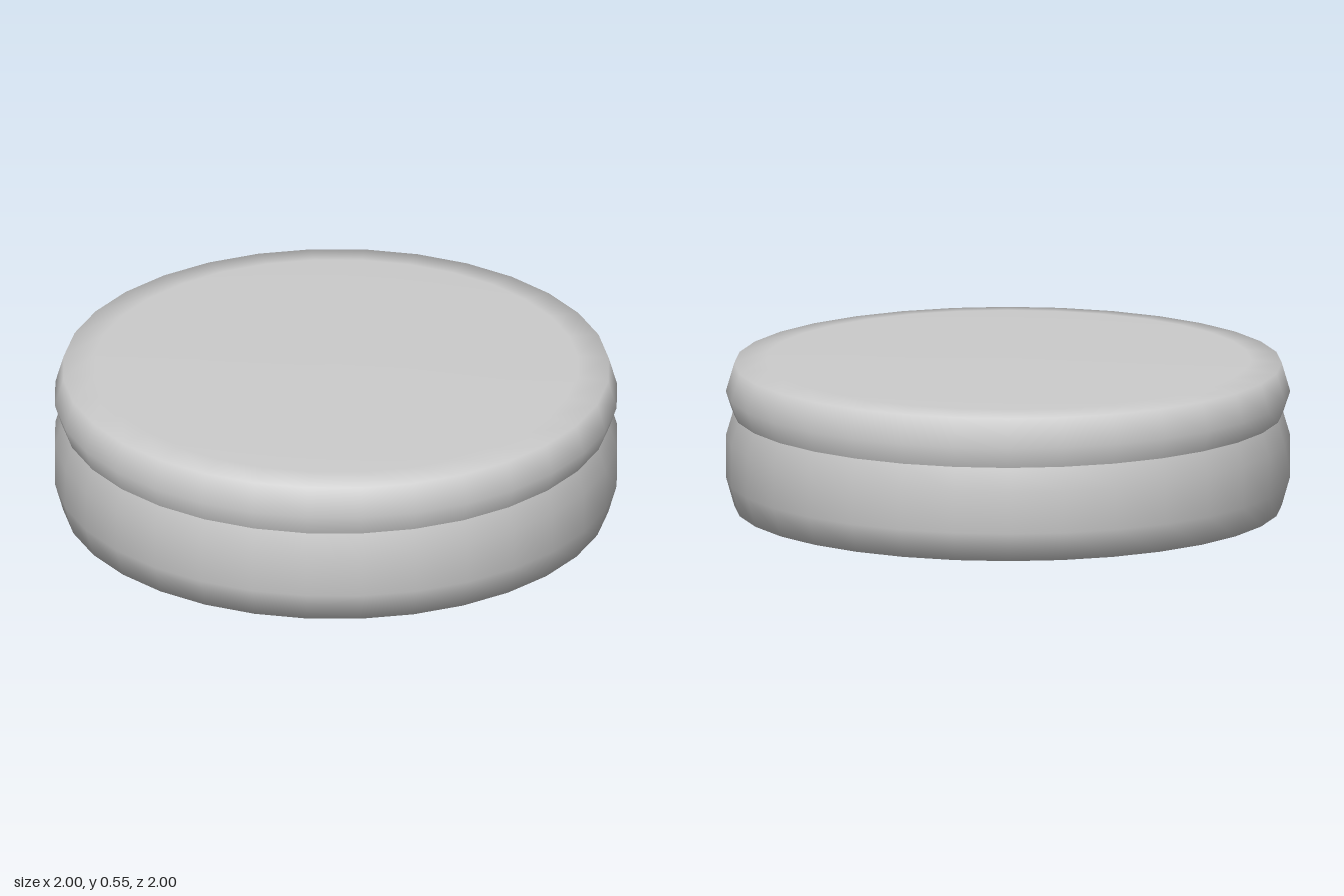
import * as THREE from 'three';

const SIDES = 32;

// Revolve a [radius, height] profile, listed bottom to top, with a flat side facing each axis
function turned(name, profile, material) {
  const fit = 1 / Math.cos(Math.PI / SIDES);
  const points = profile.map(([r, y]) => new THREE.Vector2(r * fit, y));
  const mesh = new THREE.Mesh(new THREE.LatheGeometry(points, SIDES, Math.PI / SIDES), material);
  mesh.name = name;
  return mesh;
}

export function createModel() {
  const group = new THREE.Group();
  group.name = 'roundTin';
  const material = new THREE.MeshStandardMaterial({ color: 0xcccccc, side: THREE.DoubleSide });

  // Taller lower half: flat underside, rolled rim, straight wall, pinched seam
  group.add(turned('base', [
    [0, 0], [0.45, 0], [0.86, 0.002], [0.97, 0.015],
    [1, 0.12], [1, 0.27], [0.975, 0.355],
  ], material));

  // Shallow lid: bulging wall and a faintly domed top
  group.add(turned('lid', [
    [0.975, 0.355], [1, 0.43], [0.97, 0.533],
    [0.86, 0.544], [0.45, 0.548], [0, 0.55],
  ], material));

  return group;
}
